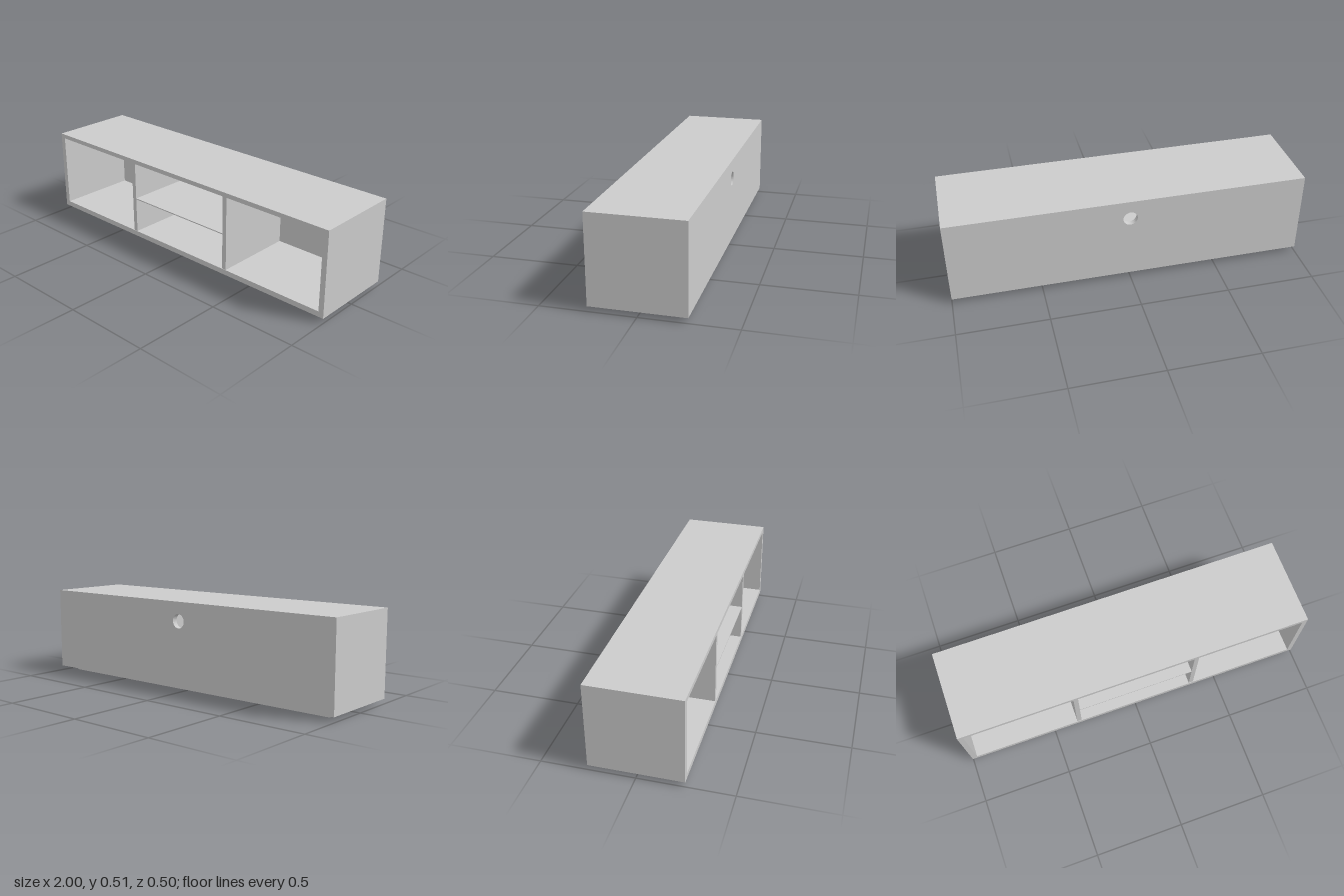
import * as THREE from 'three';

const material = new THREE.MeshStandardMaterial({ color: 0xcccccc });
const BOTTOM = 0.028, TOP = 0.508, DEPTH = 0.5;
const INNER_X = 0.97, INNER_BOTTOM = 0.058, INNER_TOP = 0.483, BACK = 0.03;

function addPart(group, name, geometry, x = 0, y = 0, z = 0) {
  const mesh = new THREE.Mesh(geometry, material);
  mesh.name = name;
  mesh.position.set(x, y, z);
  group.add(mesh);
}

function polygon(points, Type = THREE.Shape) {
  return new Type(points.map(([x, y]) => new THREE.Vector2(x, y)));
}

function rectangle(halfWidth, bottom, top, Type) {
  return polygon([[-halfWidth, bottom], [halfWidth, bottom], [halfWidth, top], [-halfWidth, top]], Type);
}

function extrude(shape, depth) {
  return new THREE.ExtrudeGeometry(shape, { depth, bevelEnabled: false, curveSegments: 16 });
}

export function createModel() {
  const group = new THREE.Group();
  group.name = 'mediaCabinet';

  // Outer frame, open at the front
  const frame = rectangle(1, BOTTOM, TOP);
  frame.holes.push(rectangle(INNER_X, INNER_BOTTOM, INNER_TOP, THREE.Path));
  addPart(group, 'frame', extrude(frame, DEPTH), 0, 0, -DEPTH / 2);

  // Back panel with a round cable hole
  const back = rectangle(INNER_X, INNER_BOTTOM, INNER_TOP);
  back.holes.push(new THREE.Path().absarc(0, 0.4, 0.04, 0, Math.PI * 2, true));
  addPart(group, 'backPanel', extrude(back, BACK), 0, 0, -DEPTH / 2);

  // Two dividers and the thin shelf between them
  const innerDepth = DEPTH - BACK - 0.003;
  const innerZ = BACK / 2 - 0.0015;
  const innerHeight = INNER_TOP - INNER_BOTTOM;
  for (const [name, side] of [['leftDivider', 1], ['rightDivider', -1]]) {
    addPart(group, name, new THREE.BoxGeometry(0.026, innerHeight, innerDepth),
      side * 0.348, INNER_BOTTOM + innerHeight / 2, innerZ);
  }
  addPart(group, 'shelf', new THREE.BoxGeometry(0.67, 0.006, innerDepth), 0, 0.265, innerZ);

  // Low plinth with slanted ends
  const plinth = polygon([[-0.93, 0], [0.93, 0], [0.948, BOTTOM], [-0.948, BOTTOM]]);
  addPart(group, 'plinth', extrude(plinth, 0.35), 0, 0, -0.175);

  return group;
}
